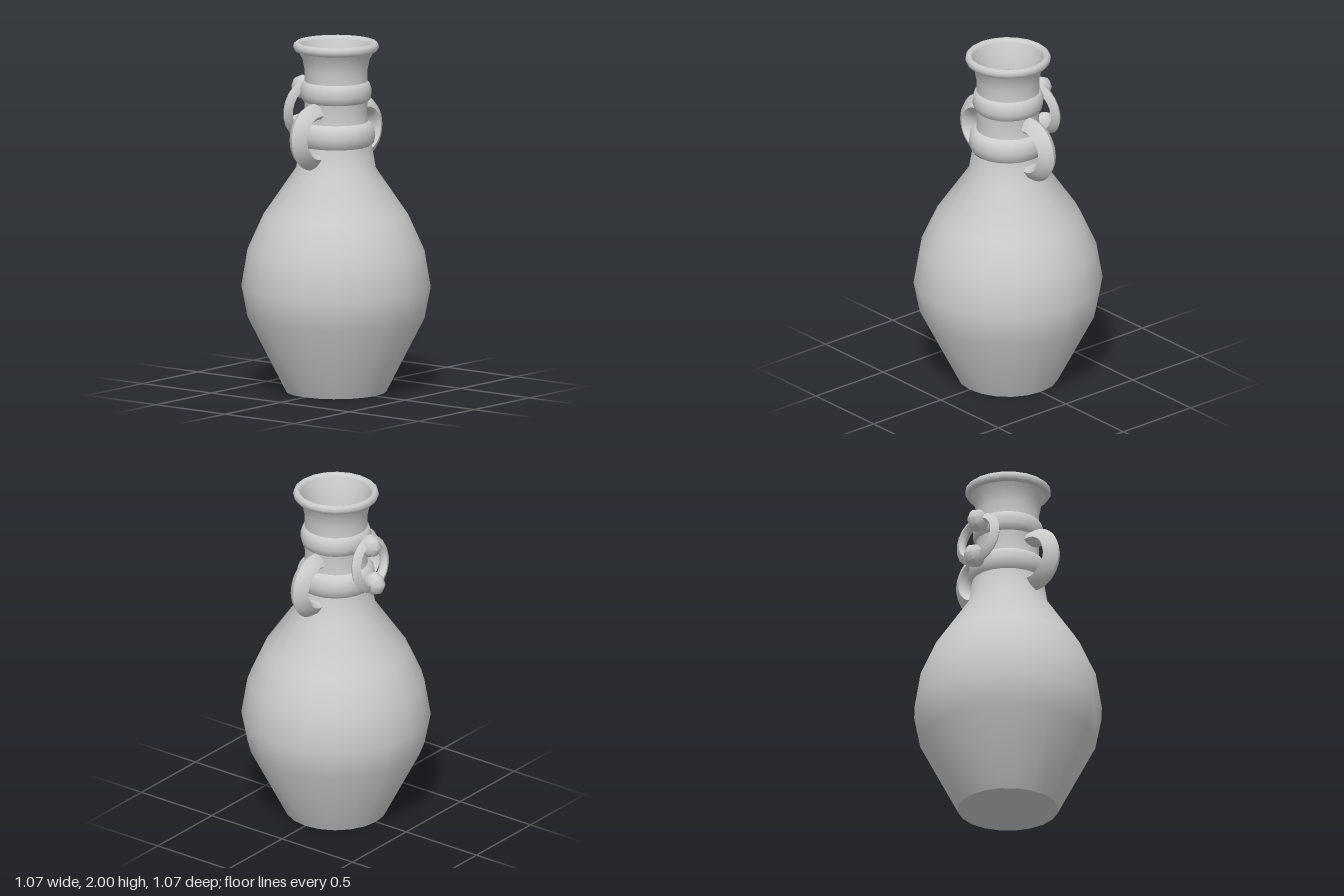
import * as THREE from 'three';
import { toCreasedNormals } from 'three/addons/utils/BufferGeometryUtils.js';

export function createModel() {
  const root = new THREE.Group();
  root.name = 'vase';
  const clay = new THREE.MeshStandardMaterial({ color: 0xcccccc });
  clay.name = 'grey clay';

  const add = (name, geometry, parent = root) => {
    const mesh = new THREE.Mesh(geometry, clay);
    mesh.name = name;
    parent.add(mesh);
    return mesh;
  };
  // Turned surface; points rise on outer faces and fall on inner ones
  const turned = (name, points, crease = 0.7) => add(name, toCreasedNormals(
    new THREE.LatheGeometry(points.map(([r, y]) => new THREE.Vector2(r, y)), 20), crease));

  // Belly with its flat foot
  turned('body', [[0, 0], [0.285, 0], [0.5, 0.42], [0.535, 0.6], [0.5, 0.81],
    [0.41, 1.01], [0.225, 1.28], [0.203, 1.41]]);

  // Neck with two rounded collars
  turned('neck', [[0.2, 1.41], [0.214, 1.425], [0.222, 1.465], [0.217, 1.51], [0.2, 1.535],
    [0.18, 1.545], [0.175, 1.6], [0.18, 1.66], [0.192, 1.67], [0.2, 1.7], [0.2, 1.735],
    [0.19, 1.765], [0.178, 1.775], [0.178, 1.84], [0.19, 1.9], [0.215, 1.945]]);

  // Rolled lip
  turned('rim', [[0.215, 1.945], [0.233, 1.95], [0.243, 1.97], [0.238, 1.99],
    [0.225, 2], [0.21, 1.995], [0.202, 1.98]], 1);

  // Hollow inside
  turned('interior', [[0.202, 1.98], [0.18, 1.92], [0.155, 1.83], [0.145, 1.72], [0.14, 1.4],
    [0.16, 1.28], [0.37, 1], [0.47, 0.6], [0.25, 0.04], [0, 0.04]]);

  // Ring with a ridged lens section, its axis turned along x
  const ringGeometry = (outer, inner, half, start, length) => {
    const mid = inner + (outer - inner) * 0.3;
    const section = [[inner, 0], [inner + 0.008, -half * 0.65], [mid, -half],
      [outer - (outer - inner) * 0.25, -half * 0.58], [outer, 0],
      [outer - (outer - inner) * 0.25, half * 0.58], [mid, half],
      [inner + 0.008, half * 0.65], [inner, 0]];
    const lathe = new THREE.LatheGeometry(
      section.map(([r, y]) => new THREE.Vector2(r, y)), 20, start, length);
    return toCreasedNormals(lathe.rotateZ(-Math.PI / 2), 0.8);
  };

  // Front and back handles, ends sunk into the neck
  const arc = Math.PI * 1.12;
  for (const [name, side] of [['frontHandle', 1], ['backHandle', -1]]) {
    const handle = add(name, ringGeometry(0.19, 0.096, 0.06, -arc / 2, arc));
    handle.position.set(0, 1.48, 0.208 * side);
    if (side < 0) handle.rotation.y = Math.PI;
  }

  // Loose ring hanging at the right between two knobs
  const hanging = add('hangingRing', ringGeometry(0.165, 0.105, 0.03, 0, Math.PI * 2));
  hanging.position.set(-0.243, 1.6, 0);
  hanging.rotation.z = -0.14;
  for (const [name, x, y] of [['upperKnob', -0.243, 1.715], ['lowerKnob', -0.272, 1.488]]) {
    const knob = add(name, toCreasedNormals(
      new THREE.SphereGeometry(0.07, 8, 6).rotateX(Math.PI / 2), 0.8));
    knob.scale.z = 0.75;
    knob.position.set(x, y, 0);
  }
  return root;
}
